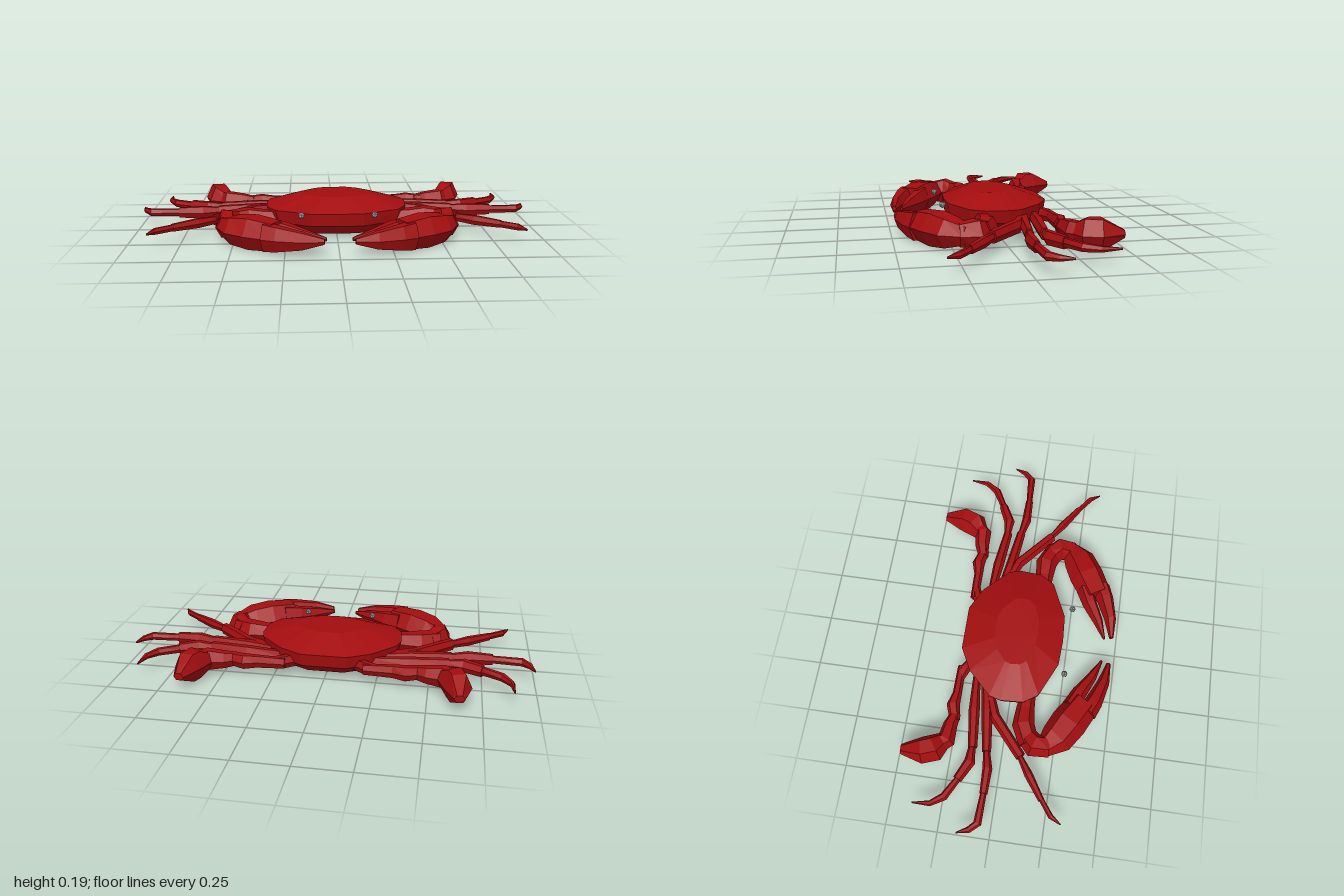
import * as THREE from 'three';

const red = new THREE.MeshStandardMaterial({ color: 0xa30d0f, flatShading: true });
red.name = 'shell red';
const grey = new THREE.MeshStandardMaterial({ color: 0x9a9a9a, flatShading: true });
grey.name = 'eye grey';

// Skin a stack of equal-length rings and cap both ends
function loft(rings) {
  const n = rings[0].length, last = rings.length - 1, pos = [], index = [];
  rings.forEach(r => r.forEach(p => pos.push(...p)));
  for (let i = 0; i < last; i++) {
    for (let j = 0; j < n; j++) {
      const a = i * n + j, b = i * n + (j + 1) % n;
      index.push(a, b, b + n, a, b + n, a + n);
    }
  }
  for (let j = 1; j < n - 1; j++) {
    index.push(0, j + 1, j, last * n, last * n + j, last * n + j + 1);
  }
  const indexed = new THREE.BufferGeometry();
  indexed.setAttribute('position', new THREE.Float32BufferAttribute(pos, 3));
  indexed.setIndex(index);
  const geometry = indexed.toNonIndexed();
  geometry.computeVertexNormals();
  return geometry;
}

// Six-sided limb segment; each station is [x, z, width, height, y]
function segment(stations, side) {
  const pts = stations.map(([x, z, w, h, y = 0.08]) => ({ x: x * side, y, z, w, h }));
  return loft(pts.map((p, i) => {
    const a = pts[Math.max(i - 1, 0)], b = pts[Math.min(i + 1, pts.length - 1)];
    const len = Math.hypot(b.x - a.x, b.z - a.z);
    const sx = (b.z - a.z) / len, sz = -(b.x - a.x) / len;
    return [[1, 0], [0.5, 1], [-0.5, 1], [-1, 0], [-0.5, -1], [0.5, -1]].map(([u, v]) =>
      [p.x + sx * u * p.w / 2, p.y + v * p.h / 2, p.z + sz * u * p.w / 2]);
  }));
}

const limbs = {
  frontLeg: {
    upper: [[0.28, -0.11, 0.04, 0.05], [0.42, -0.06, 0.055, 0.06], [0.60, 0.095, 0.05, 0.055]],
    middle: [[0.59, 0.085, 0.025, 0.035], [0.68, 0.145, 0.042, 0.045], [0.79, 0.22, 0.03, 0.035]],
    tip: [[0.78, 0.215, 0.024, 0.03], [0.86, 0.275, 0.026, 0.03], [0.89, 0.325, 0.006, 0.008]]
  },
  middleLeg: {
    upper: [[0.26, -0.13, 0.04, 0.05], [0.40, -0.10, 0.055, 0.06], [0.60, -0.072, 0.045, 0.055]],
    middle: [[0.58, -0.075, 0.03, 0.04], [0.68, -0.055, 0.048, 0.06], [0.80, -0.055, 0.038, 0.05]],
    tip: [[0.79, -0.055, 0.03, 0.035], [0.94, -0.062, 0.04, 0.035], [0.975, -0.10, 0.03, 0.025], [0.995, -0.155, 0.006, 0.008]]
  },
  rearLeg: {
    upper: [[0.22, -0.18, 0.035, 0.05], [0.40, -0.165, 0.055, 0.06], [0.59, -0.142, 0.045, 0.055]],
    middle: [[0.57, -0.145, 0.03, 0.04], [0.66, -0.145, 0.055, 0.06], [0.75, -0.19, 0.045, 0.055]],
    tip: [[0.73, -0.178, 0.03, 0.04], [0.84, -0.24, 0.04, 0.035], [0.88, -0.30, 0.028, 0.025], [0.888, -0.385, 0.006, 0.008]]
  },
  swimmingLeg: {
    hip: [[0.14, -0.20, 0.06, 0.06], [0.20, -0.245, 0.055, 0.06], [0.25, -0.26, 0.04, 0.05]],
    upper: [[0.19, -0.262, 0.04, 0.05], [0.33, -0.262, 0.045, 0.06], [0.39, -0.272, 0.065, 0.07], [0.47, -0.25, 0.05, 0.06]],
    wrist: [[0.43, -0.25, 0.05, 0.06], [0.49, -0.268, 0.07, 0.08], [0.57, -0.275, 0.09, 0.10], [0.61, -0.32, 0.08, 0.09]],
    paddle: [[0.56, -0.275, 0.07, 0.07], [0.615, -0.325, 0.135, 0.14], [0.637, -0.385, 0.13, 0.14], [0.645, -0.485, 0.05, 0.035]]
  },
  clawArm: {
    upperArm: [[0.26, 0.09, 0.07, 0.08], [0.36, 0.085, 0.09, 0.09], [0.44, 0.085, 0.11, 0.11], [0.53, 0.125, 0.10, 0.10]],
    wrist: [[0.48, 0.095, 0.10, 0.09], [0.535, 0.15, 0.12, 0.13], [0.53, 0.225, 0.11, 0.10]],
    palm: [[0.555, 0.19, 0.08, 0.08], [0.485, 0.255, 0.165, 0.13], [0.40, 0.305, 0.18, 0.15], [0.29, 0.37, 0.16, 0.13]],
    fixedFinger: [[0.34, 0.385, 0.10, 0.13], [0.28, 0.415, 0.088, 0.115], [0.17, 0.453, 0.06, 0.08], [0.07, 0.468, 0.022, 0.025]],
    movingFinger: [[0.32, 0.305, 0.09, 0.12], [0.24, 0.34, 0.075, 0.10], [0.15, 0.392, 0.05, 0.06], [0.06, 0.432, 0.012, 0.016]]
  }
};

export function createModel() {
  const crab = new THREE.Group();
  crab.name = 'crab';
  const add = (parent, name, geometry, material) => {
    const mesh = new THREE.Mesh(geometry, material);
    mesh.name = name;
    parent.add(mesh);
    return mesh;
  };

  // Shell: one outline repeated at four heights
  const half = [[0.13, 0.218], [0.3, 0.14], [0.345, 0.07], [0.352, -0.04], [0.335, -0.1], [0.22, -0.215], [0.11, -0.272]];
  const outline = [[0, 0.225], ...half, ...half.map(([x, z]) => [-x, z]).reverse()];
  const levels = [[0.8, 0.78, 0.027], [0.96, 0.97, 0.075], [1, 1, 0.138], [0.5, 0.43, 0.192]];
  add(crab, 'shell', loft(levels.map(([sx, sz, y]) => outline.map(([x, z]) => [x * sx, y, z * sz]))), red);

  // Limbs and eyes on both sides
  for (const side of [1, -1]) {
    const label = side > 0 ? 'left' : 'right';
    for (const [limbName, parts] of Object.entries(limbs)) {
      const limb = new THREE.Group();
      limb.name = `${label} ${limbName}`;
      for (const [part, stations] of Object.entries(parts)) add(limb, part, segment(stations, side), red);
      crab.add(limb);
    }
    const eye = add(crab, `${label} eye`, new THREE.IcosahedronGeometry(0.017, 0), grey);
    eye.position.set(0.174 * side, 0.142, 0.252);
  }
  return crab;
}
